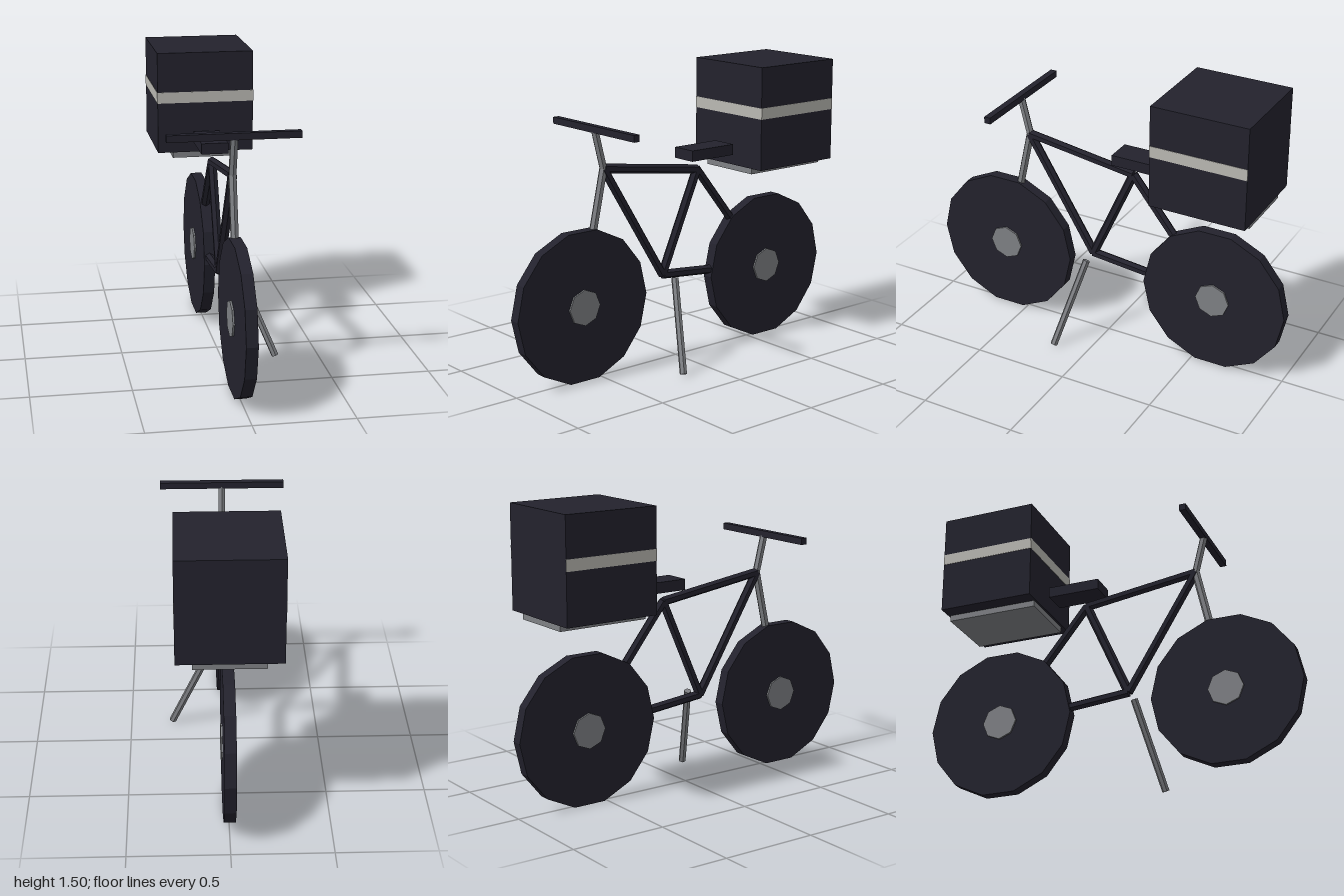
import * as THREE from 'three';

export function createModel() {
  const model = new THREE.Group();
  model.name = 'deliveryBicycle';

  const material = (name, color) => {
    const m = new THREE.MeshStandardMaterial({ color });
    m.name = name;
    m.flatShading = true;
    return m;
  };
  const dark = material('darkNavy', 0x23222d);
  const metal = material('greyMetal', 0x7f8185);
  const pale = material('paleStripe', 0xbab9b3);

  const add = (name, geometry, mat, x, y, z) => {
    const mesh = new THREE.Mesh(geometry, mat);
    mesh.name = name;
    mesh.position.set(x, y, z);
    model.add(mesh);
    return mesh;
  };
  const box = (name, mat, w, h, d, x, y, z) =>
    add(name, new THREE.BoxGeometry(w, h, d), mat, x, y, z);

  // Straight six-sided tube between two points
  const up = new THREE.Vector3(0, 1, 0);
  const tube = (name, mat, r, a, b) => {
    const dir = b.clone().sub(a);
    const mid = a.clone().add(b).multiplyScalar(0.5);
    const mesh = add(name, new THREE.CylinderGeometry(r, r, dir.length(), 6), mat, mid.x, mid.y, mid.z);
    mesh.quaternion.setFromUnitVectors(up, dir.normalize());
  };
  const disc = (name, mat, r, width, sides, z) => {
    const geometry = new THREE.CylinderGeometry(r, r, width, sides).rotateZ(Math.PI / 2);
    add(name, geometry, mat, 0, 0.387, z);
  };

  // Wheels with hubs
  for (const [side, z] of [['front', 0.609], ['rear', -0.609]]) {
    disc(side + 'Wheel', dark, 0.391, 0.058, 14, z);
    disc(side + 'Hub', metal, 0.092, 0.076, 8, z);
  }

  // Frame joints
  const p = (x, y, z) => new THREE.Vector3(x, y, z);
  const head = p(0, 1.06, 0.46);
  const seatJoint = p(0, 0.975, -0.14);
  const crank = p(0, 0.455, 0.09);
  const rearAxle = p(0, 0.387, -0.609);
  const frontAxle = p(0, 0.387, 0.609);

  // Frame tubes
  tube('topTube', dark, 0.024, head, seatJoint);
  tube('downTube', dark, 0.024, head, crank);
  tube('seatTube', dark, 0.024, crank, seatJoint);
  tube('seatStay', dark, 0.024, seatJoint, rearAxle);
  tube('chainStay', dark, 0.024, crank, rearAxle);

  // Fork, stem and kickstand
  tube('fork', metal, 0.021, head, frontAxle);
  tube('stem', metal, 0.02, head, p(0, 1.25, 0.508));
  tube('kickstand', metal, 0.019, p(0.093, 0.455, 0.083), p(0.276, 0.01, 0.18));

  // Handlebar and saddle
  box('handlebar', dark, 0.648, 0.034, 0.034, 0, 1.261, 0.507);
  box('saddle', dark, 0.138, 0.056, 0.276, 0, 1.063, -0.19);

  // Rack and delivery box
  box('rack', metal, 0.346, 0.034, 0.485, 0, 0.961, -0.607);
  box('deliveryBox', dark, 0.506, 0.53, 0.506, 0, 1.241, -0.607);

  // Stripe on the front and both sides of the box
  box('frontStripe', pale, 0.508, 0.058, 0.004, 0, 1.27, -0.354);
  for (const s of [-1, 1]) box('sideStripe', pale, 0.004, 0.058, 0.506, s * 0.253, 1.27, -0.607);

  return model;
}
